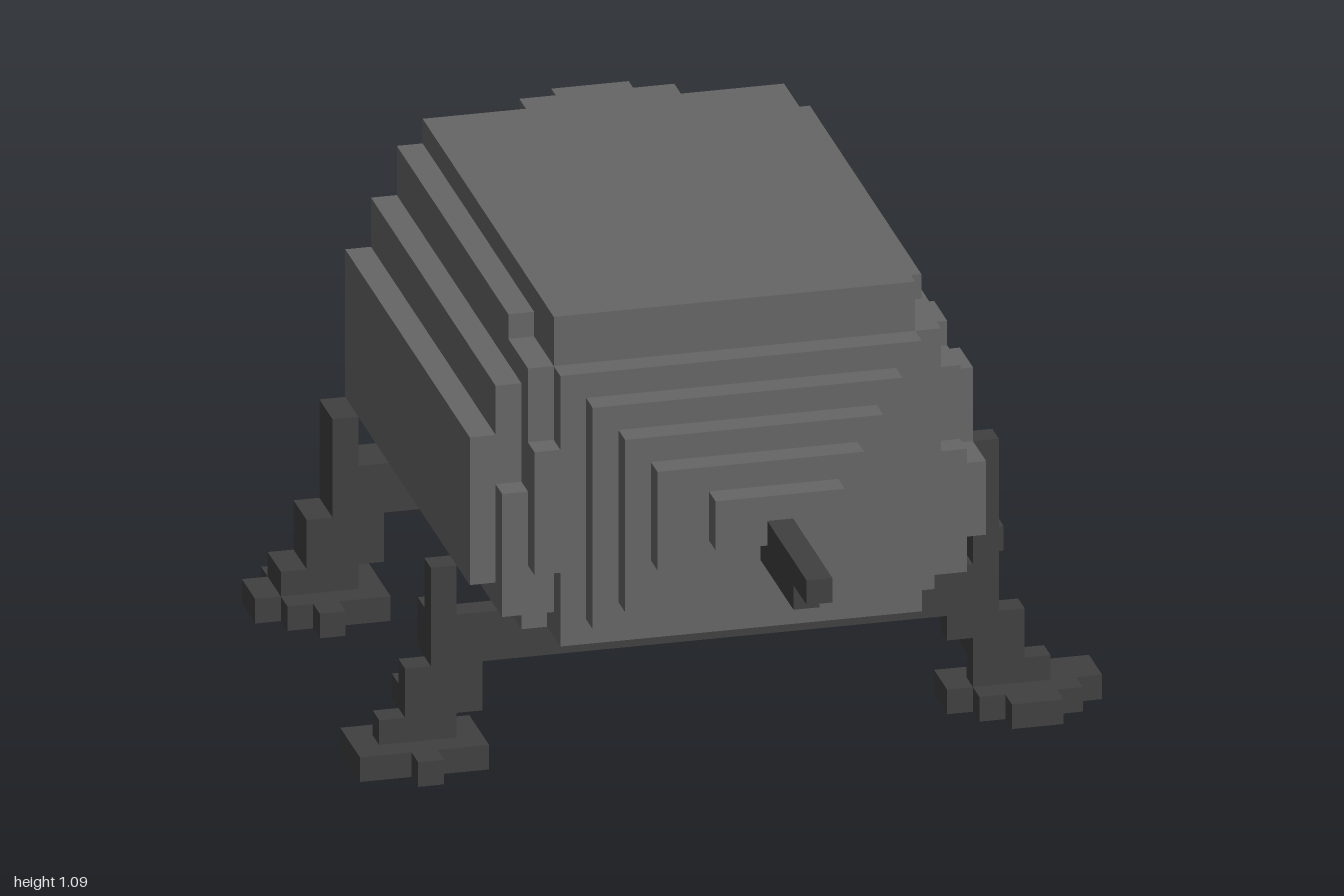
import * as THREE from 'three';
import { mergeGeometries } from 'three/addons/utils/BufferGeometryUtils.js';

const U = 2 / 35; // size of one block

// Box spanning grid cells: x i0..i1, y j0..j1, z k0..k1
function block([i0, i1, j0, j1, k0, k1]) {
  const g = new THREE.BoxGeometry((i1 - i0) * U, (j1 - j0) * U, (k1 - k0) * U);
  return g.translate(((i0 + i1) / 2 - 14.5) * U, ((j0 + j1) / 2) * U, ((k0 + k1) / 2 - 17.5) * U);
}

// Stepped round plate: end rows are inset
function disc(i0, i1, j0, j1, k0, k1) {
  return [4, 2, 1, 1, 0].map((inset, n) => [i0 + inset, i1 - inset, j0 + n, j1 - n, k0, k1]);
}

export function createModel() {
  const group = new THREE.Group();
  const hullGray = new THREE.MeshStandardMaterial({ color: 0x666666 });
  const darkGray = new THREE.MeshStandardMaterial({ color: 0x404040 });

  function part(name, material, boxes) {
    const mesh = new THREE.Mesh(mergeGeometries(boxes.map(block)), material);
    mesh.name = name;
    group.add(mesh);
  }

  // Main hull, stepped in cross-section
  part('hull', hullGray, [
    [7, 21, 6, 19, 4, 24],
    [6, 22, 6, 18, 4, 21],
    [6, 22, 6, 17, 21, 23],
    [5, 22, 7, 16, 4, 23],
    [4, 22, 8, 14, 4, 23],
  ]);

  // Side shell, open around the hatch recess
  part('sideShell', hullGray, [
    [22, 23, 7, 16, 4, 15], [23, 24, 8, 14, 4, 15],
    [22, 23, 7, 11, 15, 19], [23, 24, 8, 11, 15, 19],
    [22, 23, 7, 16, 19, 21], [23, 24, 8, 14, 19, 21],
    [22, 23, 7, 15, 21, 23], [23, 24, 8, 11, 21, 23],
  ]);
  part('hatch', darkGray, [[22, 22.1, 11, 17, 15, 19]]);

  // Nose, tapering in steps
  part('nose', hullGray, [
    [6, 22, 7, 17, 23, 24],
    [5, 23, 7, 12, 23, 24],
    [7, 21, 6, 17, 24, 25],
    [6, 21, 9, 14, 24, 25],
    [8, 20, 7, 16, 25, 26],
    [9, 19, 8, 15, 26, 27],
    [10, 18, 10, 14, 27, 28],
    [12, 17, 11, 13, 28, 29],
  ]);
  part('barrel', darkGray, [[14, 15, 10, 11, 27, 33], [14, 15, 11, 12, 27, 35]]);

  // Round rear housing
  part('rearHousing', hullGray, [
    ...disc(7, 21, 5, 19, 3, 4),
    ...disc(8, 20, 6, 18, 1, 3),
    ...disc(9, 20, 7, 18, 0, 1),
  ]);

  // Legs joined by a beam under the hull
  for (const [name, k0, k1] of [['rear', 4, 6], ['front', 20, 21]]) {
    part(name + 'Beam', darkGray, [[3, 25, 4, 6, k0, k1]]);
    part(name + 'LeftLeg', darkGray, [
      [24, 25, 4, 11, k0, k1], [23, 26, 3, 4, k0, k1], [24, 26, 2, 3, k0, k1], [24, 27, 1, 2, k0, k1],
    ]);
    part(name + 'RightLeg', darkGray, [
      [3, 4, 4, 8, k0, k1], [2, 5, 2, 4, k0, k1], [1, 4, 1, 2, k0, k1],
    ]);
  }
  part('frontBeamBrace', darkGray, [
    [8, 21, 4, 6, 19, 20], [24, 25, 4, 6, 19, 20], [24, 26, 2, 3, 19, 20], [3, 4, 4, 6, 19, 20], [2, 4, 2, 3, 19, 20],
  ]);

  // Cross-shaped feet
  part('frontLeftFoot', darkGray, [
    [25, 27, 0, 1, 18, 23], [23, 29, 0, 1, 19, 21], [24, 28, 0, 1, 21, 22],
  ]);
  part('frontRightFoot', darkGray, [[2, 3, 0, 1, 18, 23], [0, 5, 0, 1, 19, 22]]);
  part('rearLeftFoot', darkGray, [
    [25, 27, 0, 1, 2, 8], [23, 27, 0, 1, 3, 7], [24, 29, 0, 1, 4, 6],
  ]);
  part('rearRightFoot', darkGray, [
    [2, 3, 0, 1, 2, 8], [1, 5, 0, 1, 3, 7], [0, 5, 0, 1, 4, 6],
  ]);

  return group;
}
